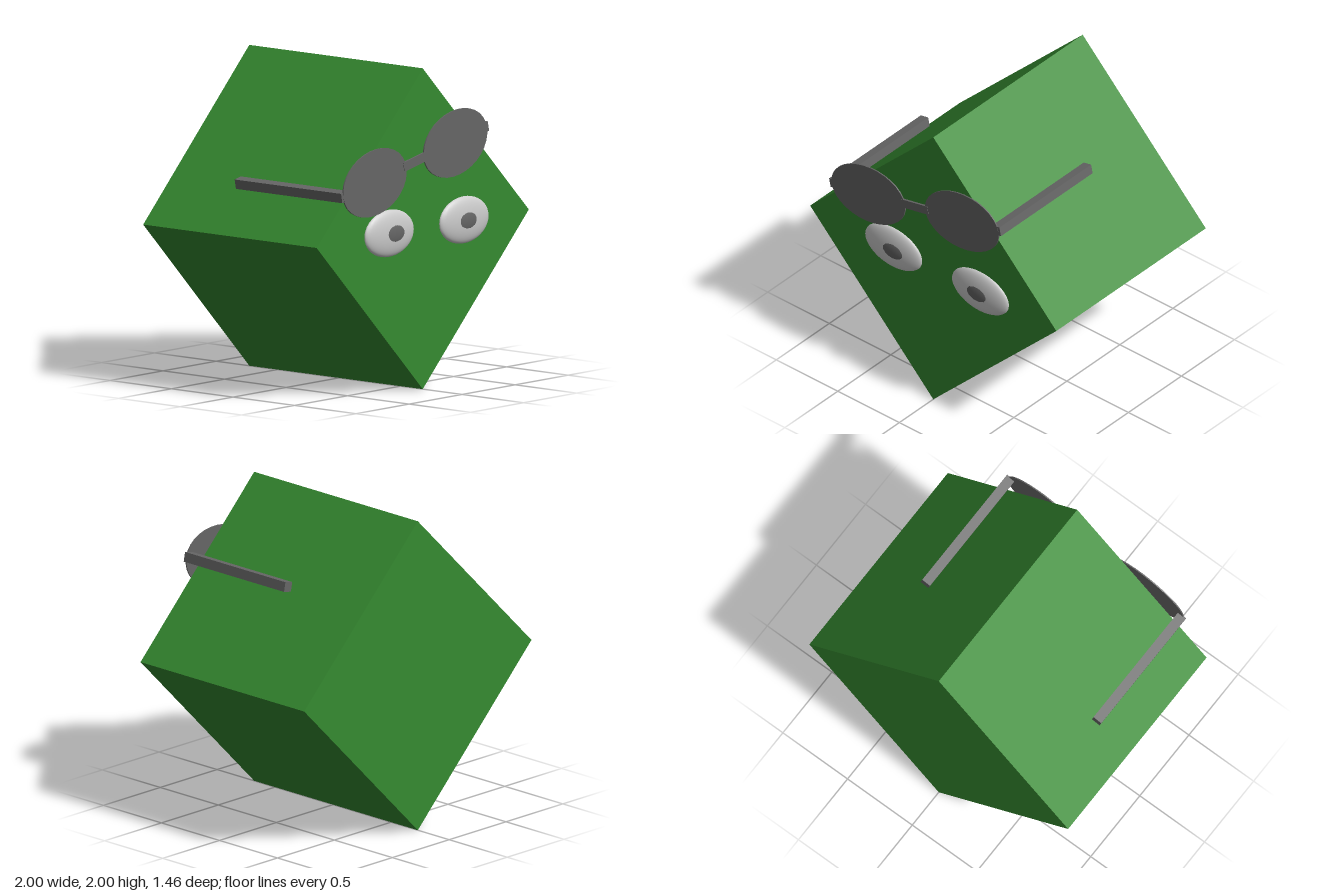
import * as THREE from 'three';

const mat = (color) => new THREE.MeshStandardMaterial({ color });

function add(parent, name, geometry, material, x, y, z) {
  const mesh = new THREE.Mesh(geometry, material);
  mesh.name = name;
  mesh.position.set(x, y, z);
  parent.add(mesh);
  return mesh;
}

export function createModel() {
  const model = new THREE.Group();
  model.name = 'cubeCharacter';
  const green = mat(0x358a30);
  const white = mat(0xcccccc);
  const dark = mat(0x666666);

  // Cube body balanced on one edge
  const body = add(model, 'body', new THREE.BoxGeometry(Math.SQRT2, Math.SQRT2, 1.41), green, 0, 1, -0.025);
  body.rotation.z = Math.PI / 4;

  // Flattened eyes, with pupils just breaking through their surface
  const ball = new THREE.SphereGeometry(1, 32, 20);
  for (const [side, x, pupilX] of [['right', -0.32, -0.305], ['left', 0.385, 0.385]]) {
    add(model, side + 'Eye', ball, white, x, 1.01, 0.68).scale.set(0.23, 0.147, 0.045);
    add(model, side + 'Pupil', ball, dark, pupilX, 1.01, 0.705).scale.set(0.115, 0.075, 0.023);
  }

  // Tilted glasses
  const glasses = new THREE.Group();
  glasses.name = 'glasses';
  glasses.position.set(-0.115, 1.428, 0.715);
  glasses.rotation.z = 0.204;
  model.add(glasses);

  const lens = new THREE.CylinderGeometry(1, 1, 0.008, 32).rotateX(Math.PI / 2);
  const arm = new THREE.BoxGeometry(0.061, 0.061, 0.865);
  for (const [side, s] of [['right', -1], ['left', 1]]) {
    add(glasses, side + 'Lens', lens, dark, s * 0.388, 0, 0).scale.set(0.303, 0.204, 1);
    add(glasses, side + 'Arm', arm, dark, s * 0.676, 0.004, -0.43);
  }
  add(glasses, 'bridge', new THREE.BoxGeometry(0.22, 0.058, 0.014), dark, 0, 0.008, 0);

  return model;
}
